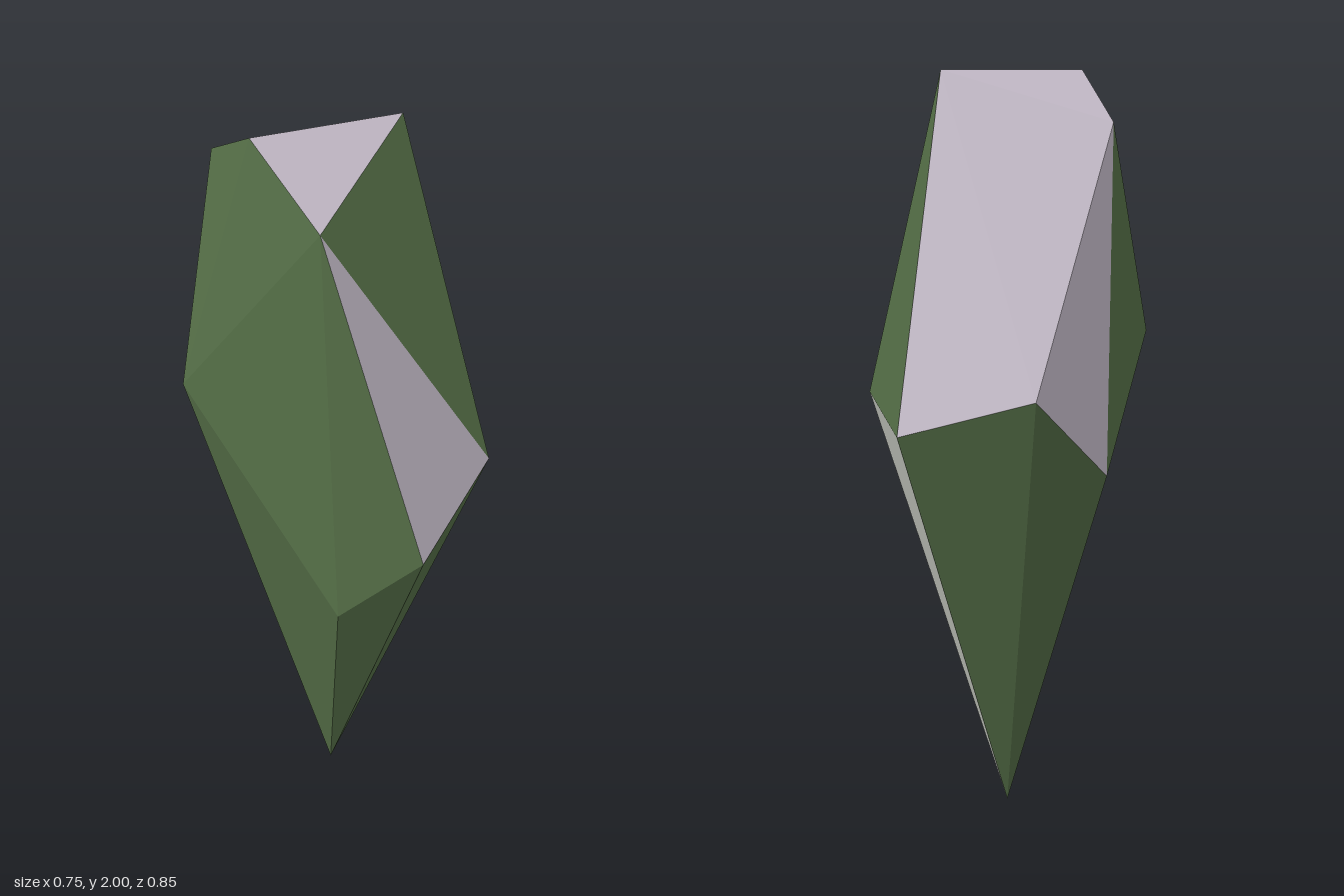
import * as THREE from 'three';

const mat = (name, color) => {
  const m = new THREE.MeshStandardMaterial({ color });
  m.name = name;
  return m;
};

// Corners of the faceted crystal
const P = {
  tip: [-0.035, 0, 0.125],
  // girdle
  back: [-0.24, 1.27, -0.425],
  backLeft: [0.12, 1.15, -0.377],
  left: [0.375, 1.12, 0.203],
  frontLeft: [0.233, 0.94, 0.418],
  front: [0.022, 0.76, 0.423],
  frontRight: [-0.377, 1.32, 0.254],
  backRight: [-0.368, 1.04, -0.2],
  // crown
  crownRight: [-0.314, 1.88, 0.087],
  crownFront: [-0.197, 1.995, 0.249],
  crownLeft: [0.138, 2, 0.093],
  brow: [-0.02, 1.83, 0.383],
};

const greenFacets = [
  ['crownRight', 'frontRight', 'crownFront'],
  ['crownFront', 'frontRight', 'brow'],
  ['brow', 'frontRight', 'front'],
  ['brow', 'front', 'frontLeft'],
  ['brow', 'left', 'crownLeft'],
  ['crownLeft', 'left', 'backLeft'],
  ['backRight', 'frontRight', 'crownRight'],
  ['tip', 'backRight', 'frontRight'],
  ['tip', 'frontRight', 'front'],
  ['tip', 'front', 'frontLeft'],
  ['tip', 'frontLeft', 'left'],
  ['tip', 'backLeft', 'back'],
  ['tip', 'back', 'backRight'],
];

const lavenderFacets = [
  ['back', 'backLeft', 'crownLeft'],
  ['back', 'crownLeft', 'crownRight'],
  ['crownRight', 'crownLeft', 'crownFront'],
  ['crownFront', 'crownLeft', 'brow'],
  ['backRight', 'crownRight', 'back'],
  ['brow', 'left', 'frontLeft'],
];

const paleFacets = [['tip', 'left', 'backLeft']];

// Builds flat triangles, each turned to face away from the core
function facetMesh(name, facets, material) {
  const core = new THREE.Vector3(-0.03, 1.15, 0.08);
  const positions = [];
  for (const facet of facets) {
    const [a, b, c] = facet.map((k) => new THREE.Vector3(...P[k]));
    const normal = b.clone().sub(a).cross(c.clone().sub(a));
    const outward = normal.dot(a.clone().sub(core)) > 0;
    for (const v of outward ? [a, b, c] : [a, c, b]) positions.push(v.x, v.y, v.z);
  }
  const geometry = new THREE.BufferGeometry();
  geometry.setAttribute('position', new THREE.Float32BufferAttribute(positions, 3));
  geometry.computeVertexNormals();
  const mesh = new THREE.Mesh(geometry, material);
  mesh.name = name;
  return mesh;
}

export function createModel() {
  const crystal = new THREE.Group();
  crystal.name = 'crystal';
  crystal.add(
    facetMesh('greenFacets', greenFacets, mat('mossGreen', 0x567048)),
    facetMesh('lavenderFacets', lavenderFacets, mat('lavenderGrey', 0xbdb4c1)),
    facetMesh('paleFacet', paleFacets, mat('paleGrey', 0xcdd0c8)),
  );
  return crystal;
}
